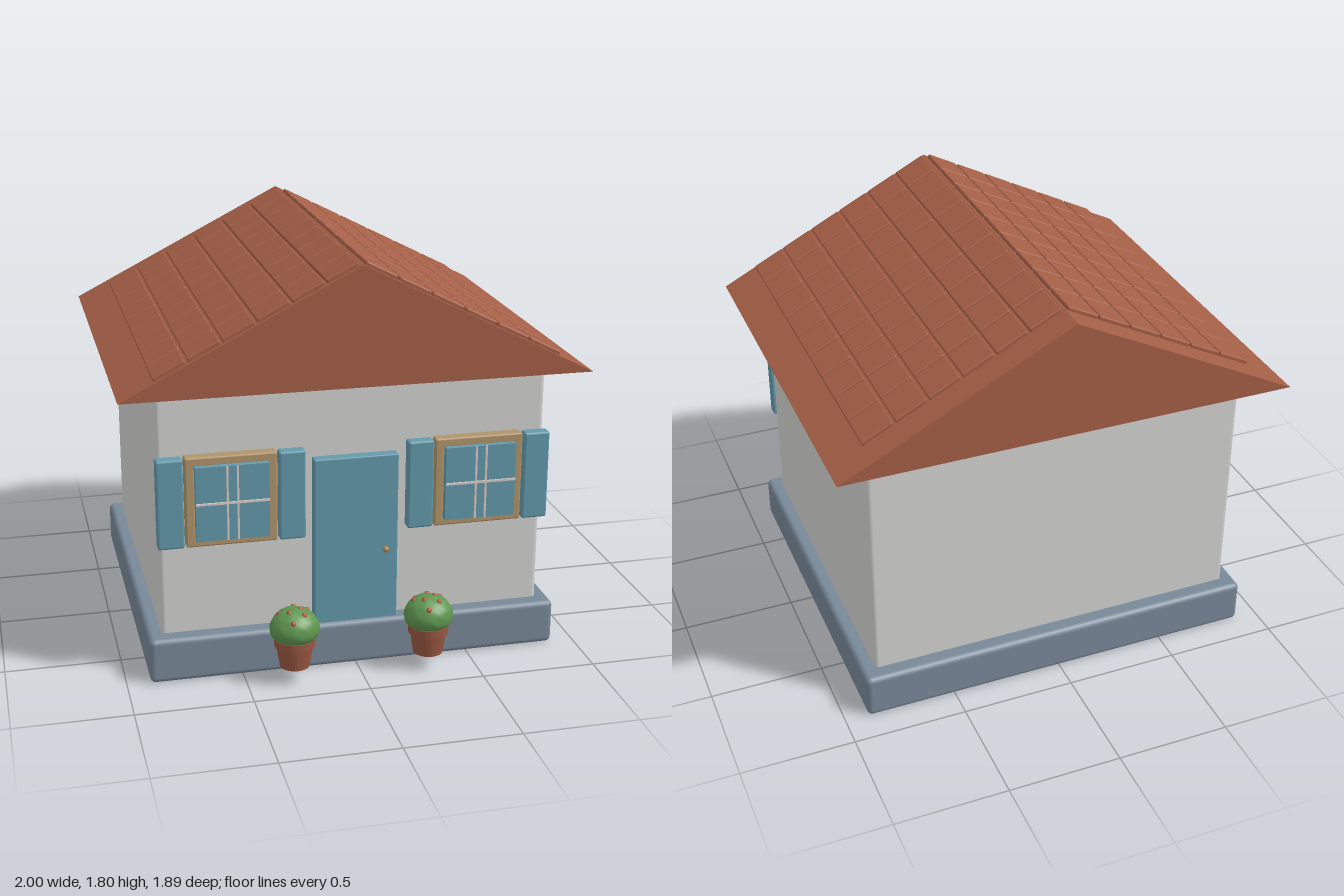
import * as THREE from 'three';
import { RoundedBoxGeometry } from 'three/addons/geometries/RoundedBoxGeometry.js';

const paint = (name, color) => {
  const m = new THREE.MeshStandardMaterial({ color });
  m.name = name;
  return m;
};

export function createModel() {
  const plaster = paint('plaster', 0xd2d2d0);
  const stone = paint('slate blue stone', 0x788898);
  const clay = paint('clay roof', 0xa35e46);
  const teal = paint('teal paint', 0x6399ab);
  const wood = paint('tan wood', 0xb0946a);
  const pale = paint('pale bars', 0xd9cdc6);
  const leaf = paint('leaf green', 0x5f9650);
  const terracotta = paint('terracotta', 0x9a5741);
  const petal = paint('red petals', 0xb2563c);
  const brass = paint('brass', 0xa8875a);

  const house = new THREE.Group();
  house.name = 'house';

  const add = (parent, name, geometry, material, x = 0, y = 0, z = 0) => {
    const mesh = new THREE.Mesh(geometry, material);
    mesh.name = name;
    mesh.position.set(x, y, z);
    parent.add(mesh);
    return mesh;
  };
  // Rounded box given by its limits on each axis
  const block = (parent, name, material, [x0, x1], [y0, y1], [z0, z1], r) =>
    add(parent, name, new RoundedBoxGeometry(x1 - x0, y1 - y0, z1 - z0, 3, r), material,
      (x0 + x1) / 2, (y0 + y1) / 2, (z0 + z1) / 2);

  // Plinth, walls and ceiling slab
  block(house, 'plinth', stone, [-0.9, 0.9], [0, 0.2], [-0.878, 0.757], 0.025);
  block(house, 'walls', plaster, [-0.84, 0.84], [0.17, 1.26], [-0.807, 0.688], 0.02);
  add(house, 'ceilingSlab', new THREE.BoxGeometry(1.66, 0.05, 1.49), plaster, 0, 1.258, -0.06);

  // Solid gable roof
  const eaveY = 1.28, ridgeY = 1.79, rise = ridgeY - eaveY;
  const gable = new THREE.Shape([
    new THREE.Vector2(-1, 0), new THREE.Vector2(1, 0), new THREE.Vector2(0, rise),
  ]);
  add(house, 'roof', new THREE.ExtrudeGeometry(gable, { depth: 1.774, bevelEnabled: false }),
    clay, 0, eaveY, -0.949);

  // Tiles: six rows by nine columns on each slope
  const slope = Math.atan(rise), pitchX = 0.1417, pitchZ = 0.1817;
  const tileGeometry = new RoundedBoxGeometry((pitchX - 0.009) / Math.cos(slope), 0.026, pitchZ - 0.009, 2, 0.006);
  for (const side of [-1, 1]) {
    const tiles = new THREE.Group();
    tiles.name = side > 0 ? 'leftTiles' : 'rightTiles';
    house.add(tiles);
    for (let row = 0; row < 6; row++) {
      const x = 0.008 + (row + 0.5) * pitchX;
      for (let col = 0; col < 9; col++) {
        const tile = add(tiles, 'tile', tileGeometry, clay,
          side * x, ridgeY - x * rise + 0.005, -0.828 + (col + 0.5) * pitchZ);
        tile.rotation.z = -side * slope;
      }
    }
  }

  // Door and knob
  block(house, 'door', teal, [-0.183, 0.183], [0.19, 0.947], [0.67, 0.736], 0.006);
  const knob = new THREE.Group();
  knob.name = 'doorKnob';
  knob.position.set(0.125, 0.525, 0.757);
  house.add(knob);
  add(knob, 'knobBall', new THREE.SphereGeometry(0.014, 20, 14), brass);
  const stem = add(knob, 'knobStem', new THREE.CylinderGeometry(0.006, 0.006, 0.03, 12), brass, 0, 0, -0.014);
  stem.rotation.x = Math.PI / 2;

  // Windows, each with a frame, protruding pane, bars and two shutters
  for (const side of [-1, 1]) {
    const win = new THREE.Group();
    win.name = side > 0 ? 'leftWindow' : 'rightWindow';
    win.position.set(side * 0.536, 0.803, 0);
    house.add(win);
    for (const s of [-1, 1]) {
      add(win, 'frameUpright', new RoundedBoxGeometry(0.04, 0.395, 0.055, 2, 0.008), wood, s * 0.174, 0, 0.715);
      add(win, 'frameRail', new RoundedBoxGeometry(0.388, 0.04, 0.055, 2, 0.008), wood, 0, s * 0.1775, 0.715);
      add(win, 'shutter', new RoundedBoxGeometry(0.113, 0.392, 0.056, 2, 0.01), teal, s * 0.2575, 0, 0.722);
      add(win, 'verticalBar', new THREE.BoxGeometry(0.008, 0.325, 0.009), pale, s * 0.022, 0, 0.772);
    }
    add(win, 'pane', new THREE.BoxGeometry(0.31, 0.326, 0.08), teal, 0, 0, 0.73);
    add(win, 'horizontalBar', new THREE.BoxGeometry(0.31, 0.009, 0.009), pale, 0, 0.002, 0.773);
  }

  // Potted shrubs beside the door
  const potProfile = [[0, 0], [0.064, 0], [0.078, 0.09], [0.086, 0.093], [0.088, 0.13], [0, 0.13]]
    .map(([r, y]) => new THREE.Vector2(r, y));
  const potGeometry = new THREE.LatheGeometry(potProfile, 32).toNonIndexed();
  potGeometry.computeVertexNormals();

  // Gently lobed bush, flattened slightly below
  const bushGeometry = new THREE.SphereGeometry(1, 40, 28);
  const p = bushGeometry.attributes.position;
  for (let i = 0; i < p.count; i++) {
    const v = new THREE.Vector3().fromBufferAttribute(p, i);
    const lump = 1 + 0.025 * Math.sin(v.x * 9) * Math.sin(v.y * 8 + 1) * Math.cos(v.z * 9);
    const below = v.y < 0 ? 0.85 : 1;
    p.setXYZ(i, v.x * 0.106 * lump, v.y * 0.09 * lump * below, v.z * 0.1 * lump);
  }
  bushGeometry.computeVertexNormals();

  const flowerGeometry = new THREE.SphereGeometry(0.013, 12, 8);
  for (const side of [-1, 1]) {
    const plant = new THREE.Group();
    plant.name = side > 0 ? 'leftPlant' : 'rightPlant';
    plant.position.set(side * 0.295, 0.07, 0.845);
    house.add(plant);
    add(plant, 'pot', potGeometry, terracotta);
    add(plant, 'bush', bushGeometry, leaf, 0, 0.173, 0);
    // Flowers scattered over the crown
    for (let i = 0; i < 8; i++) {
      const turn = i * 2.4, tilt = 0.25 + i * 0.11;
      add(plant, 'flower', flowerGeometry, petal,
        0.1 * Math.sin(tilt) * Math.cos(turn), 0.173 + 0.085 * Math.cos(tilt),
        0.095 * Math.sin(tilt) * Math.sin(turn));
    }
  }
  return house;
}
